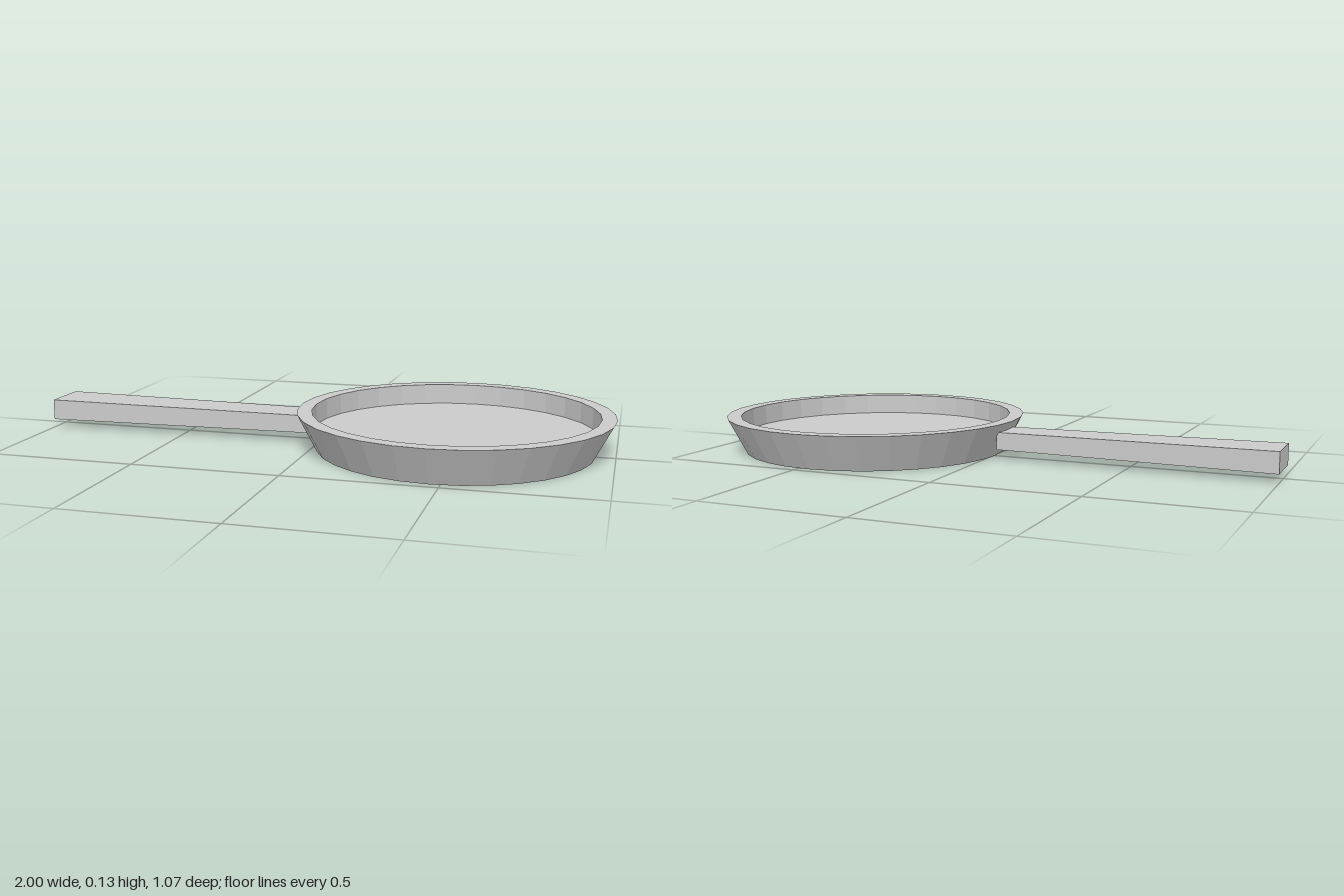
import * as THREE from 'three';

const material = new THREE.MeshStandardMaterial({ color: 0xcccccc, flatShading: true });

export function createModel() {
  const model = new THREE.Group();
  model.name = 'fryingPan';

  // Pan: flared outer wall, flat rim, straight inner wall and a recessed floor
  const profile = [
    [0, 0], [0.47, 0], [0.535, 0.126], [0.485, 0.126], [0.485, 0.054], [0, 0.054],
  ].map(([r, y]) => new THREE.Vector2(r, y));
  const pan = new THREE.Mesh(new THREE.LatheGeometry(profile, 32), material);
  pan.name = 'pan';
  pan.position.x = 0.465;
  model.add(pan);

  // Handle: a bar that tapers towards the pan in width and height
  const start = -1, end = -0.04;
  const bar = new THREE.BoxGeometry(end - start, 0.072, 0.168);
  const pos = bar.attributes.position;
  for (let i = 0; i < pos.count; i++) {
    if (pos.getX(i) > 0) {
      pos.setY(i, pos.getY(i) * 0.84);
      pos.setZ(i, pos.getZ(i) * 0.8);
    }
  }
  bar.computeVertexNormals();
  const handle = new THREE.Mesh(bar, material);
  handle.name = 'handle';
  handle.position.set((start + end) / 2, 0.065, 0);
  model.add(handle);

  return model;
}
